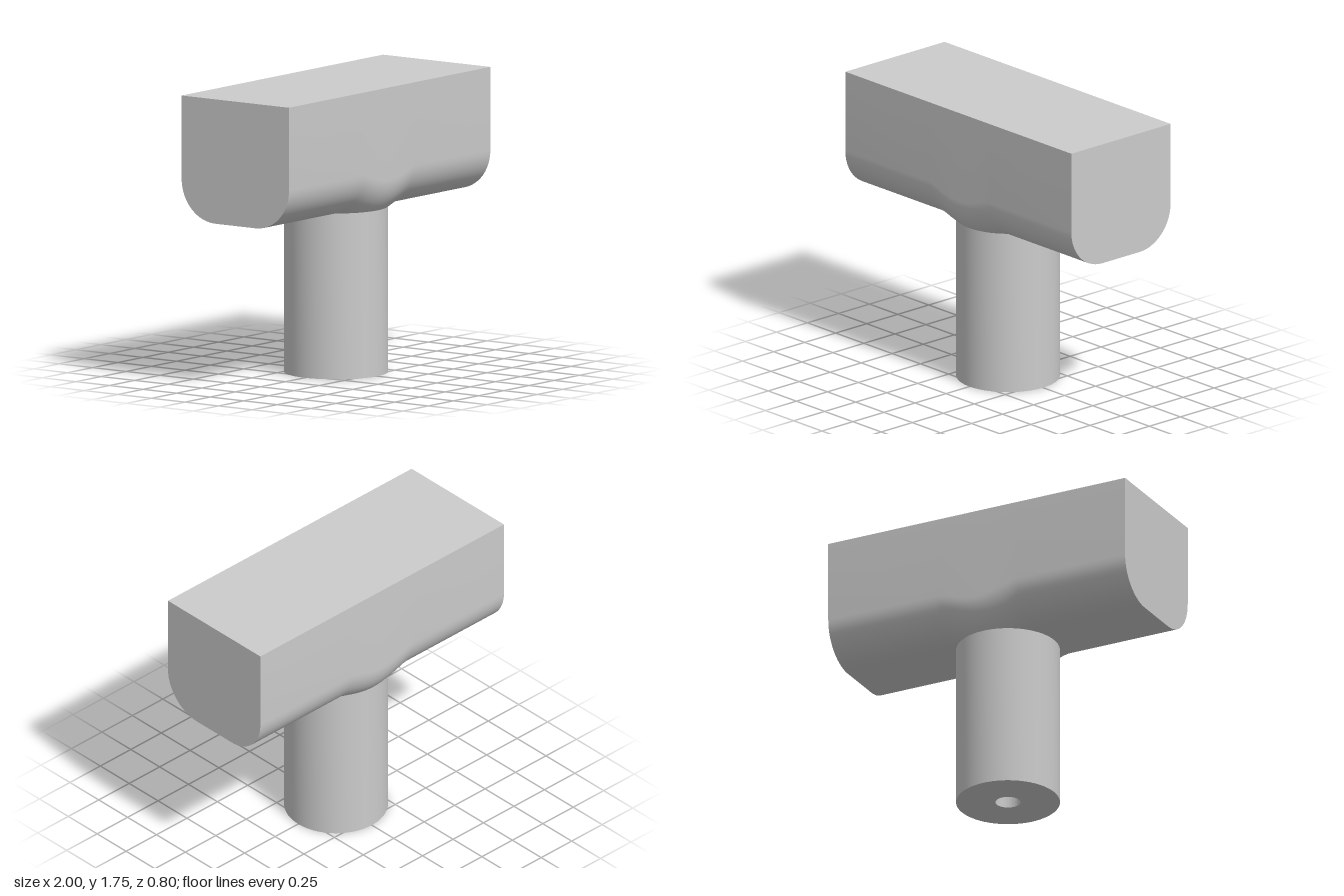
import * as THREE from 'three';
import { toCreasedNormals } from 'three/addons/utils/BufferGeometryUtils.js';

const HALF_LENGTH = 1, HALF_DEPTH = 0.4, BOTTOM = 1, TOP = 1.75;
const FILLET = 0.25, POST_R = 0.31, HOLE_R = 0.075, HOLE_DEPTH = 0.75;
const FLAT = HALF_DEPTH - FILLET; // half width of the flat underside

// Cross-section of the head at x: the fillet slides down to meet the post rim
function section(x) {
  const rim = Math.sqrt(Math.max(0, POST_R ** 2 - x * x));
  const z0 = Math.max(FLAT, rim);
  const end = Math.acos((z0 - FLAT) / FILLET);
  const cy = BOTTOM + FILLET * Math.sin(end);
  const half = [[HALF_DEPTH, TOP]];
  for (let i = 0; i <= 14; i++) {
    const a = end * i / 14;
    half.push([FLAT + FILLET * Math.cos(a), cy - FILLET * Math.sin(a)]);
  }
  const mirrored = half.map(([z, y]) => [-z, y]).reverse();
  return [...half, ...mirrored].map(([z, y]) => [x, y, z]);
}

function headGeometry() {
  // Sections are dense only where the post rim swells the fillet
  const xs = [-HALF_LENGTH, -0.3];
  const span = Math.acos(FLAT / POST_R);
  for (let i = -16; i <= 16; i++) xs.push(POST_R * Math.sin(span * i / 16));
  xs.push(0.3, HALF_LENGTH);
  const loops = xs.map(section);
  const pos = [];
  const tri = (a, b, c) => pos.push(...a, ...b, ...c);
  const n = loops[0].length;
  for (let j = 0; j < n; j++) {
    const k = (j + 1) % n;
    for (let i = 0; i < loops.length - 1; i++) {
      const p = loops[i], q = loops[i + 1];
      tri(p[j], p[k], q[k]);
      tri(p[j], q[k], q[j]);
    }
    // End caps
    const first = loops[0], last = loops[loops.length - 1];
    tri([HALF_LENGTH, 1.4, 0], last[j], last[k]);
    tri([-HALF_LENGTH, 1.4, 0], first[k], first[j]);
  }
  const geo = new THREE.BufferGeometry();
  geo.setAttribute('position', new THREE.Float32BufferAttribute(pos, 3));
  return toCreasedNormals(geo, 0.6);
}

// Round post with a blind hole in its foot
function postGeometry() {
  const profile = [
    [0, HOLE_DEPTH], [HOLE_R, HOLE_DEPTH], [HOLE_R, 0], [POST_R, 0], [POST_R, BOTTOM],
  ].map(([r, y]) => new THREE.Vector2(r, y));
  return toCreasedNormals(new THREE.LatheGeometry(profile, 72), 0.6);
}

export function createModel() {
  const group = new THREE.Group();
  const material = new THREE.MeshStandardMaterial({ color: 0xcccccc });
  const add = (name, geometry) => {
    const mesh = new THREE.Mesh(geometry, material);
    mesh.name = name;
    group.add(mesh);
  };
  add('head', headGeometry());
  add('post', postGeometry());
  return group;
}
